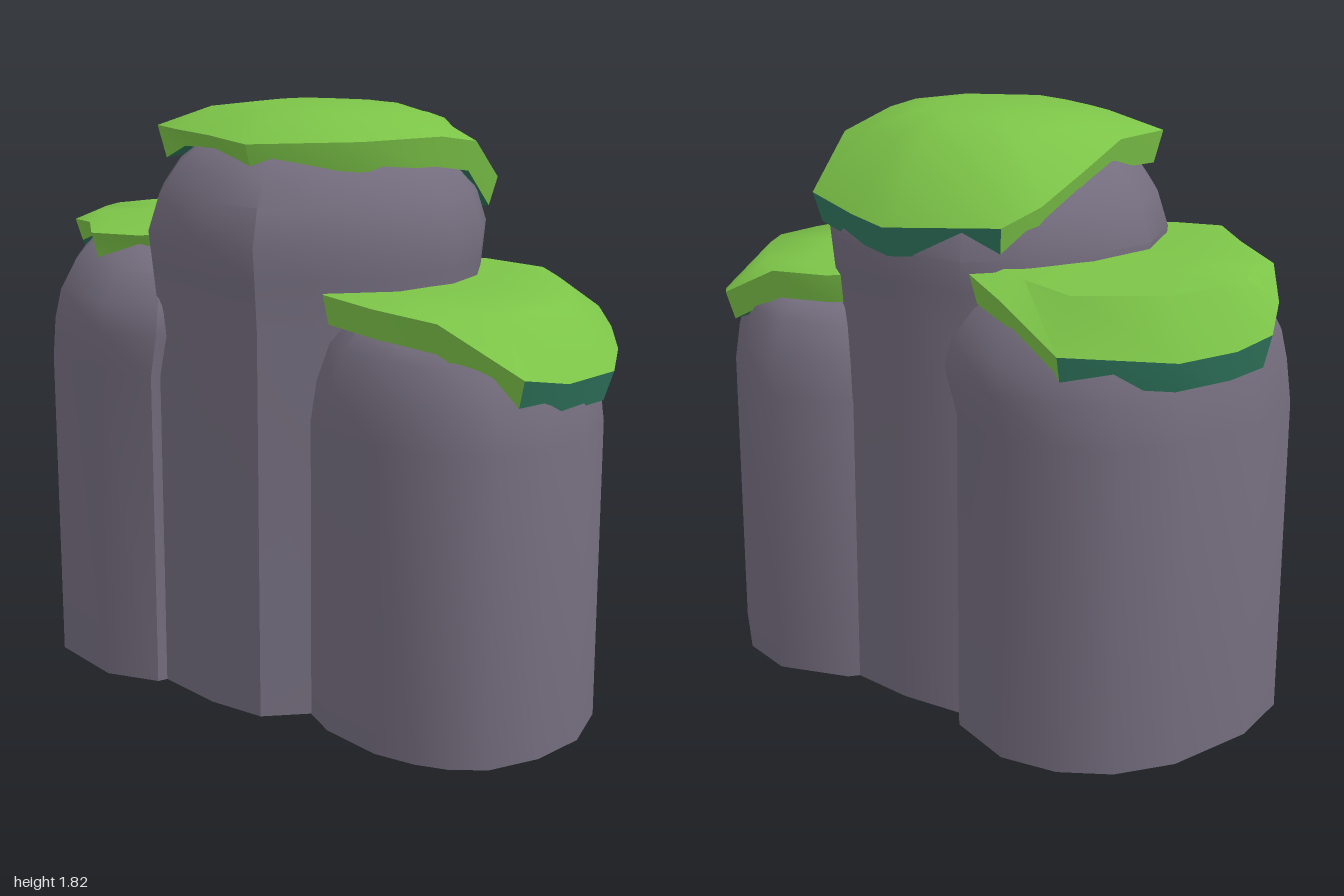
import * as THREE from 'three';
import { toCreasedNormals } from 'three/addons/utils/BufferGeometryUtils.js';

const stone = new THREE.MeshStandardMaterial({ color: 0x746d7e, side: THREE.DoubleSide });
stone.name = 'stone';
const grass = new THREE.MeshStandardMaterial({ color: 0x7cc448 });
grass.name = 'grass';
const moss = new THREE.MeshStandardMaterial({ color: 0x30785f });
moss.name = 'dark moss';

// Skin between closed rings of [x, y, z]; optional apex closes the last ring.
function loft(rings, { apex = null, keep = () => true, crease = 0.65 } = {}) {
  const n = rings[0].length;
  const index = [];
  for (let i = 0; i < n; i++) {
    if (!keep(i)) continue;
    const j = (i + 1) % n;
    for (let r = 0; r < rings.length - 1; r++) {
      const a = r * n + i, b = r * n + j;
      index.push(a, a + n, b + n, a, b + n, b);
    }
    if (apex) {
      const top = (rings.length - 1) * n;
      index.push(top + i, rings.length * n, top + j);
    }
  }
  const points = rings.flat();
  if (apex) points.push(apex);
  const geo = new THREE.BufferGeometry();
  geo.setAttribute('position', new THREE.Float32BufferAttribute(points.flat(), 3));
  geo.setIndex(index);
  return toCreasedNormals(geo, crease);
}

function addMesh(parent, name, geometry, material) {
  const mesh = new THREE.Mesh(geometry, material);
  mesh.name = name;
  parent.add(mesh);
}

// Rock column, open below: levels are [height, outline scale, sideways shift].
function rock(parent, name, [cx, cz], outline, levels) {
  const rings = levels.map(([y, s, dx = 0]) =>
    outline.map(([x, z]) => [cx + dx + (x - cx) * s, y, cz + (z - cz) * s]));
  const topY = levels[levels.length - 1][0] + 0.005;
  addMesh(parent, name, loft(rings, { apex: [cx, topY, cz], crease: 0.69 }), stone);
}

// Grass cap: edge points are [x, z, y, rim depth]; rim edges in mossEdges are dark.
function grassCap(parent, name, [cx, cy, cz], edge, { inset, drop, mossEdges }) {
  const cap = new THREE.Group();
  cap.name = name;
  const ring = (t, height) => edge.map(([x, z, y, depth = 0.09]) =>
    [x + (cx - x) * t, height(y, depth), z + (cz - z) * t]);
  const outer = ring(0, (y) => y);
  const shoulder = ring(inset, (y) => cy - (cy - y) * drop);
  const crown = ring(0.6, (y) => cy - (cy - y) * drop * 0.2);
  const lower = ring(0.05, (y, d) => y - d);
  const under = ring(0.3, (y, d) => y - d + 0.03);
  const isMoss = (i) => mossEdges.includes(i);
  addMesh(cap, 'grassTop', loft([outer, shoulder, crown], { apex: [cx, cy, cz], crease: 0.9 }), grass);
  addMesh(cap, 'grassRim', loft([lower, outer], { keep: (i) => !isMoss(i) }), grass);
  addMesh(cap, 'mossRim', loft([lower, outer], { keep: isMoss }), moss);
  addMesh(cap, 'mossUnderside', loft([under, lower]), moss);
  parent.add(cap);
}

export function createModel() {
  const model = new THREE.Group();
  model.name = 'grassyRocks';

  // Tall middle rock with a slightly swollen head
  rock(model, 'middleRock', [0, 0.04], [
    [0.47, 0], [0.42, 0.2], [0.25, 0.385], [0.14, 0.5], [-0.05, 0.51], [-0.28, 0.47],
    [-0.44, 0.28], [-0.51, 0.08], [-0.46, -0.13], [-0.36, -0.3], [-0.22, -0.42],
    [0, -0.44], [0.21, -0.42], [0.36, -0.3], [0.45, -0.15],
  ], [[0, 1], [1.2, 1], [1.35, 1.03], [1.45, 1.05], [1.56, 0.98], [1.64, 0.87], [1.7, 0.73], [1.73, 0.5]]);
  grassCap(model, 'middleCap', [0, 1.82, 0], [
    [0.43, 0, 1.74], [0.33, 0.25, 1.74], [0.05, 0.44, 1.73, 0.065], [-0.13, 0.4, 1.74, 0.04],
    [-0.3, 0.35, 1.74, 0.05], [-0.43, 0.3, 1.74, 0.1], [-0.41, 0.1, 1.74], [-0.42, -0.1, 1.68],
    [-0.39, -0.27, 1.6], [-0.33, -0.38, 1.55], [0, -0.51, 1.53], [0.15, -0.47, 1.54],
    [0.35, -0.42, 1.57], [0.43, -0.18, 1.71],
  ], { inset: 0.32, drop: 0.25, mossEdges: [9, 10, 11] });

  // Medium rock on the -x side
  rock(model, 'mediumRock', [-0.5, 0], [
    [0, 0], [-0.1, 0.26], [-0.26, 0.42], [-0.29, 0.5], [-0.46, 0.555], [-0.73, 0.49],
    [-0.95, 0.22], [-0.97, 0], [-0.9, -0.28], [-0.79, -0.44], [-0.65, -0.53], [-0.47, -0.56],
    [-0.25, -0.48], [-0.1, -0.3],
  ], [[0, 1], [1.0, 1], [1.13, 1.02, 0.03], [1.22, 0.98, 0.03], [1.31, 0.87, 0.02], [1.38, 0.7], [1.4, 0.4]]);
  grassCap(model, 'mediumCap', [-0.5, 1.43, 0], [
    [-0.12, 0, 1.42], [-0.2, 0.28, 1.42], [-0.39, 0.45, 1.42, 0.03], [-0.53, 0.5, 1.42, 0.08],
    [-0.68, 0.36, 1.42, 0.04], [-0.85, 0.26, 1.4, 0.07], [-0.95, 0.12, 1.33, 0.1],
    [-1, 0, 1.27, 0.1], [-0.97, -0.14, 1.25], [-0.9, -0.33, 1.25], [-0.64, -0.54, 1.27],
    [-0.42, -0.5, 1.38], [-0.22, -0.41, 1.42],
  ], { inset: 0.18, drop: 0.08, mossEdges: [6, 7, 8, 9] });

  // Short rock on the +x side
  rock(model, 'shortRock', [0.5, 0], [
    [0.98, 0.04], [0.96, 0.22], [0.89, 0.37], [0.8, 0.44], [0.7, 0.475], [0.57, 0.49],
    [0.36, 0.45], [0.25, 0.39], [0.14, 0.22], [0.08, -0.05], [0.12, -0.31], [0.23, -0.45],
    [0.45, -0.53], [0.63, -0.48], [0.82, -0.31], [0.92, -0.15],
  ], [[0, 1], [0.93, 1], [1.05, 0.96], [1.16, 0.88], [1.21, 0.79], [1.235, 0.5]]);
  grassCap(model, 'shortCap', [0.4, 1.31, 0], [
    [1, -0.06, 1.11], [0.98, 0.15, 1.11], [0.93, 0.3, 1.14], [0.72, 0.42, 1.29],
    [0.52, 0.45, 1.31], [0.29, 0.38, 1.31], [0.1, 0.2, 1.31], [0.1, -0.2, 1.31],
    [0.33, -0.4, 1.31], [0.52, -0.43, 1.3], [0.72, -0.44, 1.2], [0.83, -0.33, 1.17],
    [0.93, -0.2, 1.14],
  ], { inset: 0.25, drop: 0.1, mossEdges: [10, 11, 12, 0, 1] });

  return model;
}
